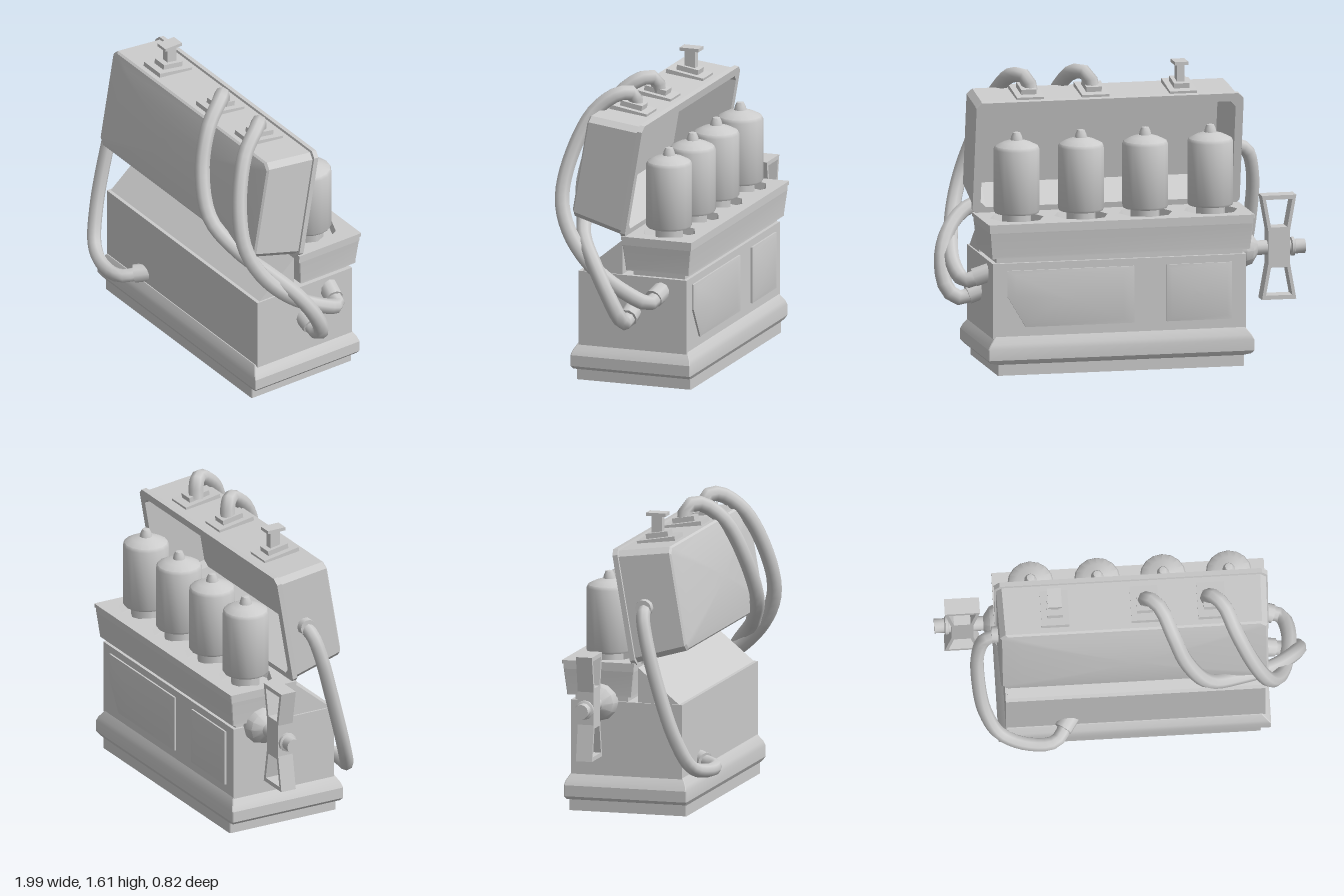
import * as THREE from 'three';
import { toCreasedNormals } from 'three/addons/utils/BufferGeometryUtils.js';

const CX = 0.055; // middle of the cabinet along x
const mat = new THREE.MeshStandardMaterial({ color: 0xcccccc });
const matTwo = new THREE.MeshStandardMaterial({ color: 0xcccccc, side: THREE.DoubleSide });

function add(parent, name, geo, x = 0, y = 0, z = 0, material = mat) {
  const m = new THREE.Mesh(geo, material);
  m.name = name;
  m.position.set(x, y, z);
  parent.add(m);
  return m;
}

// Counter-clockwise rectangle with cut corners, as [x, y] pairs
function rect(cx, cy, hx, hy, c = 0.004) {
  return [[hx, -hy + c], [hx, hy - c], [hx - c, hy], [-hx + c, hy],
    [-hx, hy - c], [-hx, -hy + c], [-hx + c, -hy], [hx - c, -hy]].map(([x, y]) => [cx + x, cy + y]);
}

// Skin over outlines stacked along z: rings = [[outline, z], ...], both ends capped
function loft(rings, crease = 0.45) {
  const pos = [];
  const R = rings.map(([o, z]) => o.map(([x, y]) => [x, y, z]));
  const n = R[0].length;
  const tri = (a, b, c) => pos.push(...a, ...b, ...c);
  for (let i = 0; i < R.length - 1; i++) {
    for (let j = 0; j < n; j++) {
      const k = (j + 1) % n;
      tri(R[i][j], R[i][k], R[i + 1][k]);
      tri(R[i][j], R[i + 1][k], R[i + 1][j]);
    }
  }
  const last = R[R.length - 1];
  for (let j = 1; j < n - 1; j++) {
    tri(R[0][0], R[0][j + 1], R[0][j]);
    tri(last[0], last[j], last[j + 1]);
  }
  const g = new THREE.BufferGeometry();
  g.setAttribute('position', new THREE.Float32BufferAttribute(pos, 3));
  return toCreasedNormals(g, crease);
}

// Upright stack of rectangles: rows of [y, halfX, halfZ] around a centre z
const stack = (rows, cz, c) =>
  loft(rows.map(([y, hx, hz]) => [rect(CX, -cz, hx, hz, c), y])).rotateX(-Math.PI / 2);

// Shrinking outlines that give a bulging cover
function dome(outline, z, height) {
  const c = outline.reduce((s, p) => [s[0] + p[0] / outline.length, s[1] + p[1] / outline.length], [0, 0]);
  return [1, 0.85, 0.65, 0.45, 0.25, 0.05].map((s) =>
    [outline.map(([x, y]) => [c[0] + (x - c[0]) * s, c[1] + (y - c[1]) * s]), z + height * (1 - s * s)]);
}

const lathe = (pts, sides) =>
  toCreasedNormals(new THREE.LatheGeometry(pts.map(([r, y]) => new THREE.Vector2(r, y)), sides), 0.7);

// Hose with a collar where it enters the casing
function hose(parent, name, pts, r, collarR) {
  const v = pts.map((p) => new THREE.Vector3(...p));
  add(parent, name, new THREE.TubeGeometry(new THREE.CatmullRomCurve3(v), 36, r, 8), 0, 0, 0, matTwo);
  const end = v[v.length - 1];
  const dir = v[v.length - 2].clone().sub(end).normalize();
  const collar = add(parent, name + 'Collar', new THREE.CylinderGeometry(collarR, collarR, 0.12, 10), end.x, end.y, end.z);
  collar.quaternion.setFromUnitVectors(new THREE.Vector3(0, 1, 0), dir);
}

export function createModel() {
  const model = new THREE.Group();
  model.name = 'valveMachine';

  // Plinth and main casing
  add(model, 'plinth', stack([[0, 0.68, 0.33], [0.06, 0.68, 0.33], [0.068, 0.72, 0.335], [0.085, 0.735, 0.345],
    [0.145, 0.735, 0.345], [0.17, 0.722, 0.338], [0.21, 0.69, 0.315]], -0.06));
  add(model, 'casing', new THREE.BoxGeometry(1.4, 0.41, 0.625), 0.06, 0.405, -0.0625);
  add(model, 'trayNeck', new THREE.BoxGeometry(1.36, 0.05, 0.295), CX, 0.63, -0.2075);

  // Sloped cover in front of the tray
  const slope = new THREE.Shape([[-0.23, 0.61], [0, 0.61], [0, 0.8]].map((p) => new THREE.Vector2(...p)));
  add(model, 'slopedCover', new THREE.ExtrudeGeometry(slope, { depth: 1.38, bevelEnabled: false }).rotateY(Math.PI / 2),
    -0.63, 0, 0);

  // Tray with a flanged top and octagonal sockets
  const valves = [-0.48, -0.12, 0.235, 0.59];
  add(model, 'tray', stack([[0.64, 0.715, 0.182], [0.65, 0.715, 0.182], [0.785, 0.728, 0.198]], -0.21));
  const top = new THREE.Shape(rect(CX, 0.21, 0.735, 0.205).map((p) => new THREE.Vector2(...p)));
  for (const x of valves) {
    const hole = [];
    for (let i = 0; i < 8; i++) {
      const a = -i * Math.PI / 4;
      hole.push(new THREE.Vector2(x + 0.165 * Math.cos(a), 0.21 + 0.165 * Math.sin(a)));
    }
    top.holes.push(new THREE.Path(hole));
  }
  add(model, 'trayTop', new THREE.ExtrudeGeometry(top, { depth: 0.02, bevelEnabled: false }).rotateX(-Math.PI / 2), 0, 0.81, 0);
  add(model, 'trayUpperWall', new THREE.BoxGeometry(1.452, 0.03, 0.008), CX, 0.797, -0.408 + 0.004);
  add(model, 'trayUpperWall', new THREE.BoxGeometry(1.452, 0.03, 0.008), CX, 0.797, -0.014);
  for (const s of [-1, 1]) add(model, 'trayUpperWall', new THREE.BoxGeometry(0.008, 0.03, 0.395), CX + s * 0.724, 0.797, -0.21);

  // Valves standing in their sockets
  for (const x of valves) {
    add(model, 'socket', lathe([[0.165, 0.83], [0.148, 0.83], [0.135, 0.79], [0, 0.788]], 8), x, 0, -0.21, matTwo);
    add(model, 'valveCollar', new THREE.CylinderGeometry(0.08, 0.08, 0.08, 8).toNonIndexed(), x, 0.825, -0.21);
    add(model, 'valve', lathe([[0, 0.858], [0.118, 0.858], [0.125, 0.87], [0.125, 1.205], [0.117, 1.222], [0.075, 1.243],
      [0.034, 1.255], [0.029, 1.275], [0.02, 1.295], [0, 1.3]], 16), x, 0, -0.208);
  }

  // Open lid, tilted back over its hinge line
  const lid = new THREE.Group();
  lid.name = 'lid';
  lid.position.set(CX, 0.83, 0);
  lid.rotation.x = -0.17;
  model.add(lid);
  add(lid, 'lidShell', loft([
    [rect(0, 0.32, 0.66, 0.245, 0.03), 0.25], [rect(0, 0.31, 0.695, 0.275, 0.03), -0.028],
    [rect(0, 0.31, 0.738, 0.32, 0.03), -0.028], [rect(0, 0.31, 0.738, 0.32, 0.03), 0],
    [rect(0, 0.31, 0.728, 0.308, 0.03), 0.002], [rect(0, 0.318, 0.722, 0.286, 0.03), 0.285],
    ...dome(rect(0, 0.318, 0.712, 0.276, 0.03), 0.295, 0.04)], 0.35));
  for (const x of [-0.365, 0.12, 0.48]) {
    add(lid, 'fittingPlate', new THREE.BoxGeometry(0.15, 0.035, 0.215), x - CX, 0.612, 0.148);
    add(lid, 'fittingBlock', new THREE.BoxGeometry(0.085, 0.035, 0.125), x - CX, 0.64, 0.148);
  }
  add(model, 'lidPost', new THREE.BoxGeometry(0.042, 0.13, 0.06), -0.365, 1.53, 0.03);
  add(model, 'lidPostCap', new THREE.BoxGeometry(0.075, 0.018, 0.11), -0.365, 1.6, 0.03);
  for (const x of [-0.46, 0.055, 0.57]) {
    add(model, 'hinge', new THREE.BoxGeometry(0.21, 0.025, 0.04), x, 0.825, 0.005);
  }

  // Hoses
  hose(model, 'innerHose', [[0.12, 1.47, 0.03], [0.14, 1.55, 0.04], [0.2, 1.56, 0.1], [0.26, 1.46, 0.22], [0.33, 1.25, 0.31],
    [0.45, 1.02, 0.34], [0.62, 0.87, 0.27], [0.8, 0.8, 0.2], [0.91, 0.69, 0.1], [0.955, 0.55, 0.01], [0.935, 0.42, -0.05],
    [0.87, 0.375, -0.06], [0.77, 0.41, -0.06]], 0.042, 0.052);
  hose(model, 'outerHose', [[0.46, 1.47, 0.03], [0.48, 1.545, 0.04], [0.54, 1.555, 0.1], [0.6, 1.46, 0.22], [0.69, 1.22, 0.32],
    [0.77, 1.0, 0.34], [0.83, 0.83, 0.27], [0.88, 0.67, 0.12], [0.905, 0.55, -0.08], [0.87, 0.495, -0.2],
    [0.77, 0.53, -0.22]], 0.042, 0.052);
  hose(model, 'sideHose', [[-0.65, 1.14, 0.05], [-0.74, 1.1, 0.06], [-0.78, 0.98, 0.09], [-0.785, 0.75, 0.15],
    [-0.75, 0.45, 0.24], [-0.67, 0.28, 0.31], [-0.53, 0.24, 0.36], [-0.38, 0.24, 0.355], [-0.3, 0.26, 0.24]], 0.038, 0.05);
  const port = add(model, 'sideHosePort', new THREE.CylinderGeometry(0.045, 0.05, 0.06, 10), -0.675, 1.14, 0.05);
  port.rotation.z = Math.PI / 2;

  // Crank on the right-hand end: hub, axle and bow-tie grip
  const axle = lathe([[0.1, 0.63], [0.105, 0.66], [0.09, 0.7], [0.04, 0.735], [0.04, 0.92], [0.052, 0.925], [0.052, 0.94],
    [0.04, 0.945], [0.04, 1], [0, 1]], 12).rotateZ(Math.PI / 2);
  add(model, 'crankAxle', axle, 0, 0.61, -0.21);
  const outline = [[-0.095, 0.285], [-0.06, 0.09], [-0.06, -0.09], [-0.095, -0.285],
    [0.095, -0.285], [0.06, -0.09], [0.06, 0.09], [0.095, 0.285]];
  const grip = new THREE.Shape(outline.map((p) => new THREE.Vector2(...p)));
  for (const s of [-1, 1]) {
    grip.holes.push(new THREE.Path([[-0.073, 0.262], [-0.045, 0.11], [0.045, 0.11], [0.073, 0.262]]
      .map(([x, y]) => new THREE.Vector2(x, y * s))));
  }
  add(model, 'crankGrip', new THREE.ExtrudeGeometry(grip, { depth: 0.09, bevelEnabled: false }), -0.85, 0.615, -0.255);

  // Bulging covers on the back, drawn mirrored and turned to face backwards
  const large = [[0.02, 0.26], [0.02, 0.57], [-0.68, 0.57], [-0.68, 0.43], [-0.58, 0.26]];
  const small = [[0.56, 0.26], [0.56, 0.57], [0.2, 0.57], [0.2, 0.26]];
  for (const [name, o] of [['largeBackCover', large], ['smallBackCover', small]]) {
    add(model, name, loft([[o, 0.37], ...dome(o, 0.385, 0.02)]).rotateY(Math.PI));
  }
  return model;
}
